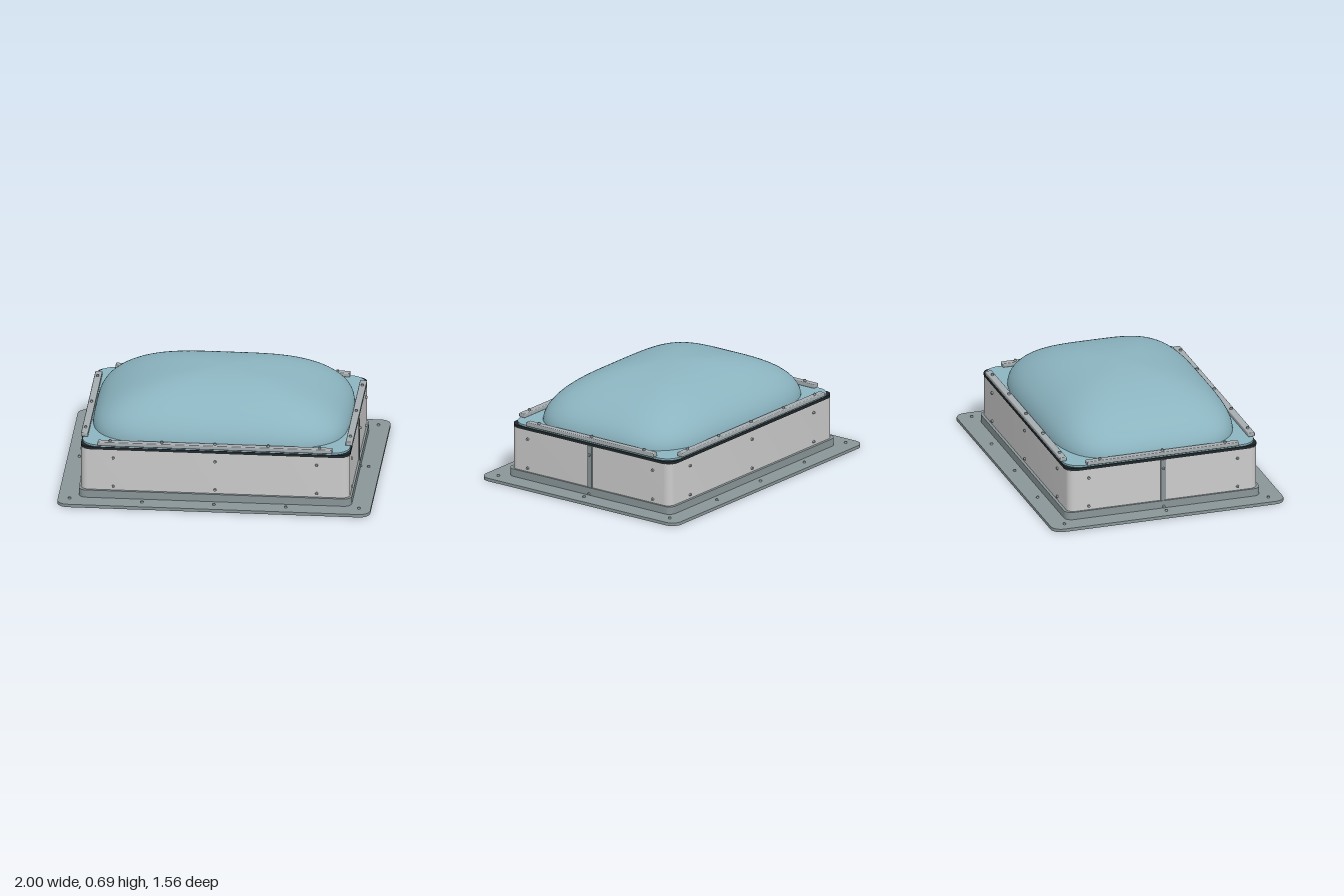
import * as THREE from 'three';
import { toCreasedNormals } from 'three/addons/utils/BufferGeometryUtils.js';
import { RoundedBoxGeometry } from 'three/addons/geometries/RoundedBoxGeometry.js';

const mat = (color, side = THREE.FrontSide) => new THREE.MeshStandardMaterial({ color, side });
const flangeMat = mat(0x8a9698);
const wallMat = mat(0xcccccc);
const darkMat = mat(0x20282b);
const barMat = mat(0xa6adb0);
const screwMat = mat(0x9aa3a6);
const glassMat = mat(0x8bb4c0, THREE.DoubleSide);

// Half sizes of the dome footprint and its height range
const DOME = { a: 0.82, b: 0.605, base: 0.368, top: 0.695 };

// Rounded rectangle with half sizes w, d and corner radius r
function roundedRect(w, d, r, Type = THREE.Shape) {
  const s = new Type();
  const q = Math.PI / 2;
  s.absarc(w - r, d - r, r, 0, q);
  s.absarc(-w + r, d - r, r, q, 2 * q);
  s.absarc(-w + r, -d + r, r, 2 * q, 3 * q);
  s.absarc(w - r, -d + r, r, 3 * q, 4 * q);
  s.closePath();
  return s;
}

// Point on the squarish dome footprint
function footprint(t) {
  const c = Math.cos(t), s = Math.sin(t);
  const r = 1 / Math.pow(c ** 4 + s ** 4, 0.25);
  return [DOME.a * r * c, DOME.b * r * s];
}

// Horizontal slab of a shape between heights y0 and y1
function slab(shape, y0, y1) {
  const g = new THREE.ExtrudeGeometry(shape, { depth: y1 - y0, bevelEnabled: false, curveSegments: 10 });
  g.rotateX(-Math.PI / 2);
  g.translate(0, y0, 0);
  return toCreasedNormals(g, 0.6);
}

function ring(outer, inner, y0, y1) {
  const shape = roundedRect(...outer);
  shape.holes.push(roundedRect(...inner, THREE.Path));
  return slab(shape, y0, y1);
}

function domeGeometry(rings = 40, segs = 128) {
  const pos = [0, DOME.top, 0], idx = [];
  for (let i = 1; i <= rings; i++) {
    const phi = (i / rings) * Math.PI / 2;
    for (let j = 0; j < segs; j++) {
      const [x, z] = footprint((j / segs) * Math.PI * 2);
      pos.push(x * Math.sin(phi), DOME.base + (DOME.top - DOME.base) * Math.cos(phi), z * Math.sin(phi));
    }
  }
  for (let j = 0; j < segs; j++) {
    const k = (j + 1) % segs;
    idx.push(0, 1 + k, 1 + j);
    for (let i = 0; i < rings - 1; i++) {
      const a = 1 + i * segs + j, b = 1 + i * segs + k;
      idx.push(a, b, a + segs, b, b + segs, a + segs);
    }
  }
  const g = new THREE.BufferGeometry();
  g.setAttribute('position', new THREE.Float32BufferAttribute(pos, 3));
  g.setIndex(idx);
  g.computeVertexNormals();
  return g;
}

export function createModel() {
  const model = new THREE.Group();
  const add = (name, geometry, material, x = 0, y = 0, z = 0) => {
    const m = new THREE.Mesh(geometry, material);
    m.name = name;
    m.position.set(x, y, z);
    model.add(m);
    return m;
  };

  // Base flange, collar and curb walls
  add('baseFlange', ring([1, 0.78, 0.07], [0.83, 0.61, 0.02], 0, 0.02), flangeMat);
  add('collar', ring([0.873, 0.655, 0.05], [0.785, 0.565, 0.01], 0.018, 0.07), flangeMat);
  add('curbWalls', ring([0.86, 0.637, 0.05], [0.81, 0.587, 0.01], 0.03, 0.35), wallMat);
  add('gasket', ring([0.862, 0.645, 0.07], [0.8, 0.577, 0.02], 0.348, 0.366), darkMat);

  // Dome with its flat rim
  const rim = roundedRect(0.855, 0.64, 0.11);
  const opening = [];
  for (let j = 0; j < 96; j++) opening.push(new THREE.Vector2(...footprint((j / 96) * Math.PI * 2)).multiplyScalar(0.995));
  rim.holes.push(new THREE.Path(opening));
  add('domeRim', slab(rim, 0.364, 0.378), glassMat);
  add('dome', domeGeometry(), glassMat);

  // Corner gussets inside the curb
  const tri = new THREE.Shape();
  tri.moveTo(0, 0).lineTo(-0.13, 0).lineTo(0, -0.13).closePath();
  for (const [sx, sz, turn] of [[1, -1, 0], [-1, -1, 1], [-1, 1, 2], [1, 1, 3]]) {
    const g = add('cornerGusset', slab(tri, 0.1, 0.115), flangeMat, sx * 0.812, 0, sz * 0.589);
    g.rotation.y = turn * Math.PI / 2;
  }

  const screwGeo = new THREE.CylinderGeometry(0.008, 0.01, 0.014, 12);
  const screw = (x, y, z, rx = 0, rz = 0) => add('screw', screwGeo, screwMat, x, y, z).rotation.set(rx, 0, rz);

  const longBar = new RoundedBoxGeometry(1.5, 0.027, 0.046, 2, 0.006);
  const sideBar = new RoundedBoxGeometry(0.046, 0.027, 1.02, 2, 0.006);
  const seam = new THREE.BoxGeometry(0.012, 0.28, 0.035);

  for (const s of [-1, 1]) {
    // Clamping bars
    add('longClampBar', longBar, barMat, 0, 0.39, s * 0.632);
    add('sideClampBar', sideBar, barMat, s * 0.846, 0.39, 0);
    for (const x of [-0.67, -0.34, 0, 0.34, 0.67]) screw(x, 0.408, s * 0.632);
    for (const z of [-0.42, 0, 0.42]) screw(s * 0.846, 0.408, z);

    // Cover strip on the end walls
    add('seamStrip', seam, flangeMat, s * 0.862, 0.21, 0);
    screw(s * 0.871, 0.29, 0, 0, -s * Math.PI / 2);
    screw(s * 0.876, 0.03, 0, 0, -s * Math.PI / 2);

    // Wall screws
    for (const y of [0.095, 0.29]) {
      for (const x of [-0.65, 0, 0.65]) screw(x, y, s * 0.641, s * Math.PI / 2);
      for (const z of [-0.5, 0.5]) screw(s * 0.864, y, z, 0, -s * Math.PI / 2);
    }

    // Flange screws
    for (const x of [-0.46, 0, 0.46]) screw(x, 0.024, s * 0.708);
    for (const z of [-0.685, 0, 0.685]) screw(s * 0.925, 0.024, z);
  }
  return model;
}
